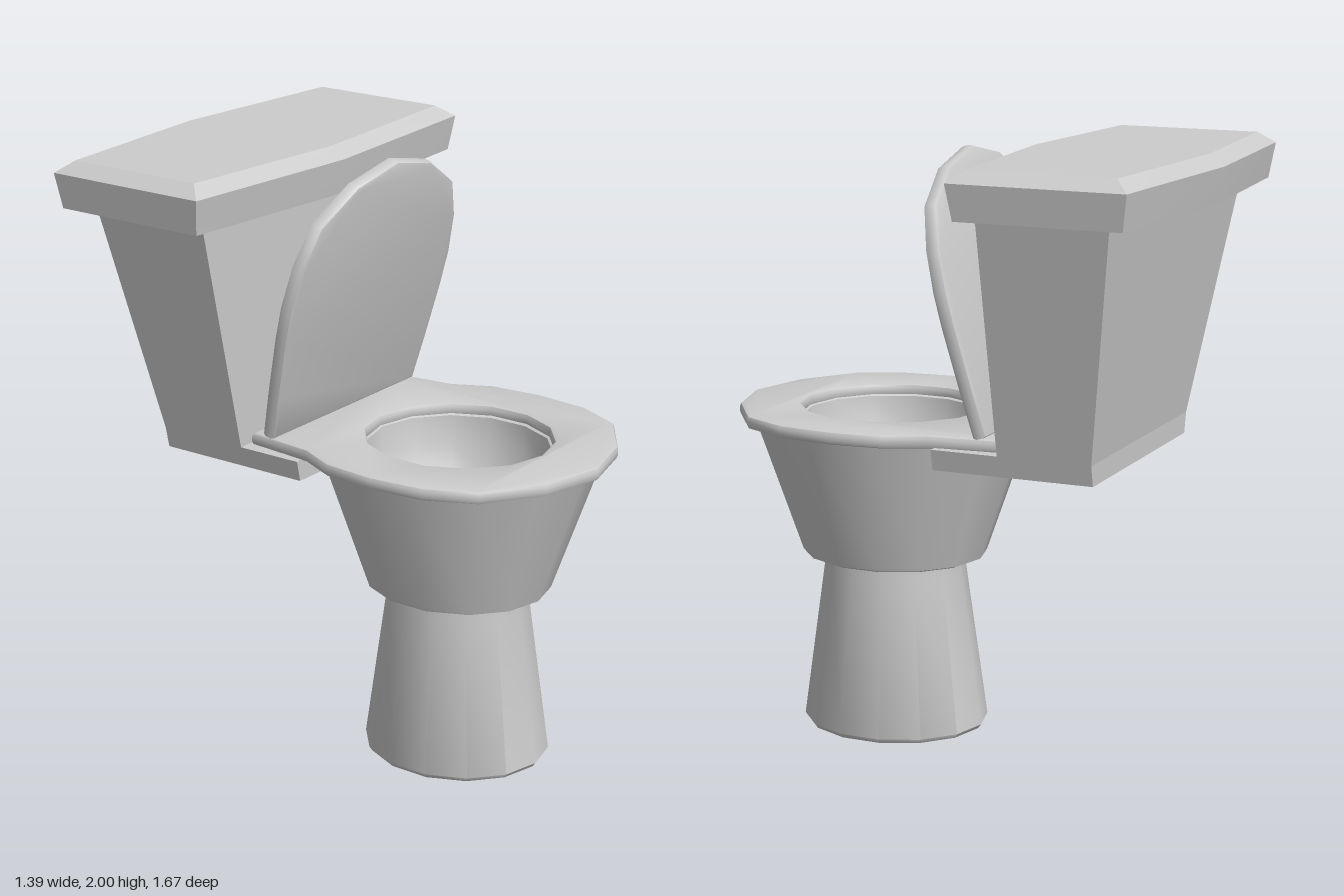
import * as THREE from 'three';
import { toCreasedNormals } from 'three/addons/utils/BufferGeometryUtils.js';

const material = new THREE.MeshStandardMaterial({ color: 0xcccccc });
const SIDES = 14;
const BOWL_Z = 0.305;

function part(name, geometry, crease = 0.75) {
  const mesh = new THREE.Mesh(toCreasedNormals(geometry, crease), material);
  mesh.name = name;
  return mesh;
}

// Oval turned part, stretched front to back
function turned(name, profile, stretch = 1.1) {
  const points = profile.map(([r, y]) => new THREE.Vector2(r, y));
  const geometry = new THREE.LatheGeometry(points, SIDES);
  geometry.scale(1, 1, stretch);
  geometry.translate(0, 0, BOWL_Z);
  return part(name, geometry);
}

// Closed outline from its +x half, mirrored to -x
function mirrored(half) {
  const other = half.filter(([x]) => x > 0).reverse().map(([x, y]) => [-x, y]);
  return [...half, ...other].map(([x, y]) => new THREE.Vector2(x, y));
}

// Plate with softly rounded edges, occupying z = 0..thickness
function plate(shape, thickness) {
  const bevel = 0.014;
  const geometry = new THREE.ExtrudeGeometry(shape, {
    depth: thickness - 2 * bevel, bevelEnabled: true, bevelSize: bevel,
    bevelThickness: bevel, bevelOffset: -bevel, bevelSegments: 2,
  });
  geometry.translate(0, 0, bevel);
  return geometry;
}

// Solid through stacked rings that share the same point count
function loft(rings) {
  const n = rings[0].length;
  const position = [];
  const tri = (a, b, c) => position.push(...a, ...b, ...c);
  for (let k = 0; k < rings.length - 1; k++) {
    for (let i = 0; i < n; i++) {
      const j = (i + 1) % n;
      tri(rings[k][i], rings[k][j], rings[k + 1][j]);
      tri(rings[k][i], rings[k + 1][j], rings[k + 1][i]);
    }
  }
  const low = rings[0], high = rings[rings.length - 1];
  for (let i = 1; i < n - 1; i++) {
    tri(low[0], low[i + 1], low[i]);
    tri(high[0], high[i], high[i + 1]);
  }
  const geometry = new THREE.BufferGeometry();
  geometry.setAttribute('position', new THREE.Float32BufferAttribute(position, 3));
  geometry.computeVertexNormals();
  return geometry;
}

export function createModel() {
  const model = new THREE.Group();
  model.name = 'toilet';

  // Pedestal and bowl
  model.add(turned('pedestal', [[0, 0], [0.28, 0], [0.29, 0.015], [0.222, 0.55], [0.222, 0.6]]));
  model.add(turned('bowl', [[0.21, 0.578], [0.27, 0.592], [0.288, 0.6], [0.292, 0.612], [0.44, 1.075]]));
  model.add(turned('bowlInterior',
    [[0.31, 1.08], [0.29, 1.07], [0.28, 0.98], [0.24, 0.86], [0.17, 0.76], [0.08, 0.71], [0, 0.7]], 1.07));

  // Seat ring: straight at the hinge, rounded at the front
  const seatShape = new THREE.Shape(mirrored([
    [0.385, -0.25], [0.41, -0.01], [0.473, 0.12], [0.49, 0.3],
    [0.47, 0.49], [0.395, 0.65], [0.21, 0.78], [0, 0.835],
  ]));
  const hole = [];
  for (let i = 0; i < SIDES; i++) {
    const a = (i / SIDES) * Math.PI * 2;
    hole.push(new THREE.Vector2(0.298 * Math.sin(a), BOWL_Z + 0.315 * Math.cos(a)));
  }
  seatShape.holes.push(new THREE.Path(hole));
  const seatGeometry = plate(seatShape, 0.045);
  seatGeometry.rotateX(Math.PI / 2);
  seatGeometry.translate(0, 1.11, 0);
  model.add(part('seat', seatGeometry));

  // Raised cover, leaning forward
  const coverShape = new THREE.Shape(mirrored([
    [0.388, 0], [0.41, 0.16], [0.432, 0.37], [0.436, 0.48],
    [0.418, 0.62], [0.36, 0.755], [0.2, 0.86], [0, 0.905],
  ]));
  const coverGeometry = plate(coverShape, 0.05);
  coverGeometry.rotateX(Math.atan(0.25));
  coverGeometry.translate(0, 1.115, -0.205);
  model.add(part('seatCover', coverGeometry));

  // Tank with its forward shelf: side profile widened with height
  const profile = [
    [-0.03, 1], [-0.03, 1.07], [-0.26, 1.07], [-0.26, 1.86], [-0.7, 1.86], [-0.58, 1.07], [-0.58, 1],
  ].map(([z, y]) => new THREE.Vector2(-z, y));
  const tankGeometry = new THREE.ExtrudeGeometry(new THREE.Shape(profile), { depth: 2, bevelEnabled: false });
  tankGeometry.translate(0, 0, -1);
  tankGeometry.rotateY(Math.PI / 2);
  const p = tankGeometry.attributes.position;
  for (let i = 0; i < p.count; i++) {
    p.setX(i, p.getX(i) * (0.415 + 0.218 * (p.getY(i) - 1)));
  }
  model.add(part('tank', tankGeometry, 0.1));

  // Tank lid: bowed front and back, chamfered top
  const lidRing = (y, inset) => [
    [0.695 - inset, y, -0.202 - inset], [0.695 - inset, y, -0.788 + inset], [-0.02, y, -0.84 + inset],
    [-0.695 + inset, y, -0.788 + inset], [-0.695 + inset, y, -0.202 - inset], [-0.02, y, -0.147 - inset],
  ];
  model.add(part('tankLid', loft([lidRing(1.845, 0.018), lidRing(1.962, 0), lidRing(2, 0.05)]), 0.3));

  return model;
}
